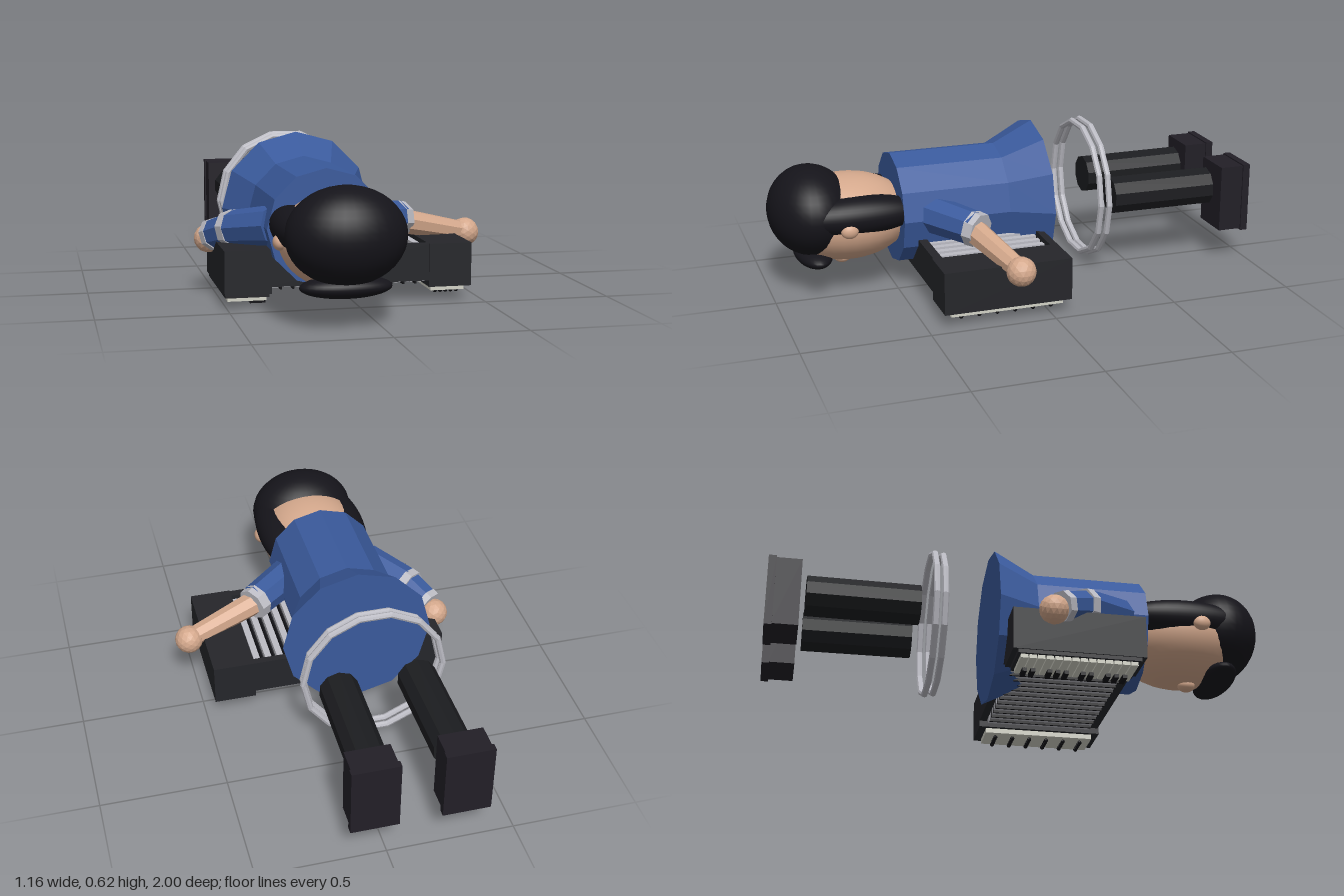
import * as THREE from 'three';

const CX = -0.13, CY = 0.315; // body axis, running along z

const paint = (color, flat = true) => new THREE.MeshStandardMaterial({ color, flatShading: flat });
const blue = paint(0x3a5a9c), skin = paint(0xd4a88c), skinSmooth = paint(0xd4a88c, false);
const hair = paint(0x15141a, false), trousers = paint(0x1c1d20), shoe = paint(0x221f27);
const casing = paint(0x25262a), silver = paint(0xbcbcc4), ivory = paint(0xd2d2c6), black = paint(0x101014);

export function createModel() {
  const model = new THREE.Group();

  const add = (name, geometry, material, x = 0, y = 0, z = 0, parent = model) => {
    const mesh = new THREE.Mesh(geometry, material);
    mesh.name = name;
    mesh.position.set(x, y, z);
    parent.add(mesh);
    return mesh;
  };
  const group = (name) => {
    const g = new THREE.Group();
    g.name = name;
    model.add(g);
    return g;
  };
  // box given by its limits
  const box = (name, mat, x0, x1, y0, y1, z0, z1, parent) =>
    add(name, new THREE.BoxGeometry(x1 - x0, y1 - y0, z1 - z0), mat,
      (x0 + x1) / 2, (y0 + y1) / 2, (z0 + z1) / 2, parent);
  // tapered limb from a to b
  const limb = (name, mat, a, b, ra, rb, sides, parent) => {
    const p = new THREE.Vector3(...a), q = new THREE.Vector3(...b);
    const mesh = add(name, new THREE.CylinderGeometry(rb, ra, p.distanceTo(q), sides), mat, 0, 0, 0, parent);
    mesh.position.copy(p).add(q).multiplyScalar(0.5);
    mesh.quaternion.setFromUnitVectors(new THREE.Vector3(0, 1, 0), q.sub(p).normalize());
    return mesh;
  };
  const ellipsoid = (name, mat, x, y, z, rx, ry, rz, parent) => {
    const mesh = add(name, new THREE.SphereGeometry(1, 32, 20), mat, x, y, z, parent);
    mesh.scale.set(rx, ry, rz);
    return mesh;
  };

  // torso and flared skirt
  limb('torso', blue, [CX, CY, 0.04], [CX, CY, 0.49], 0.227, 0.227, 12);
  limb('skirt', blue, [CX, CY, -0.115], [CX, CY, 0.05], 0.31, 0.227, 12);

  // head, lying face down
  const head = group('head');
  ellipsoid('face', skinSmooth, CX, 0.3, 0.68, 0.215, 0.175, 0.27, head);
  ellipsoid('nose', skinSmooth, CX, 0.125, 0.7, 0.032, 0.026, 0.035, head);
  ellipsoid('hairCrown', hair, CX, 0.34, 0.825, 0.222, 0.18, 0.17, head);
  ellipsoid('fringe', hair, CX, 0.155, 0.82, 0.17, 0.042, 0.075, head);
  for (const s of [-1, 1]) {
    ellipsoid('sideHair', hair, CX + s * 0.15, 0.345, 0.66, 0.087, 0.078, 0.26, head);
    ellipsoid('ear', skinSmooth, CX + s * 0.22, 0.305, 0.71, 0.024, 0.03, 0.035, head);
  }

  // left arm, reaching out
  const leftArm = group('leftArm');
  limb('sleeve', blue, [0.03, 0.325, 0.37], [0.215, 0.305, 0.235], 0.078, 0.07, 8, leftArm);
  limb('cuff', silver, [0.2, 0.305, 0.245], [0.235, 0.3, 0.22], 0.073, 0.07, 8, leftArm);
  limb('forearm', skin, [0.2, 0.3, 0.245], [0.52, 0.228, 0.15], 0.052, 0.04, 8, leftArm);
  add('hand', new THREE.IcosahedronGeometry(0.058, 2), skin, 0.52, 0.226, 0.15, leftArm);

  // right arm, folded back beside the body
  const rightArm = group('rightArm');
  limb('upperSleeve', blue, [-0.31, 0.315, 0.38], [-0.445, 0.285, 0.22], 0.078, 0.07, 8, rightArm);
  limb('elbowBand', silver, [-0.44, 0.285, 0.225], [-0.46, 0.28, 0.195], 0.074, 0.072, 8, rightArm);
  limb('lowerSleeve', blue, [-0.45, 0.28, 0.21], [-0.51, 0.245, 0.11], 0.068, 0.06, 8, rightArm);
  limb('wristBand', silver, [-0.5, 0.25, 0.125], [-0.515, 0.242, 0.1], 0.066, 0.063, 8, rightArm);
  add('hand', new THREE.IcosahedronGeometry(0.058, 2), skin, -0.523, 0.224, 0.075, rightArm);

  // accordion: end blocks, side walls and pleats
  const accordion = group('accordion');
  box('keyBlock', casing, -0.51, -0.33, 0.06, 0.23, -0.08, 0.435, accordion);
  box('buttonBlock', casing, 0.29, 0.46, 0.06, 0.23, -0.08, 0.435, accordion);
  box('frontWall', casing, -0.34, 0.3, 0.085, 0.23, 0.395, 0.43, accordion);
  box('backWall', casing, -0.34, 0.3, 0.085, 0.23, -0.08, -0.05, accordion);
  box('bellowsCore', casing, -0.34, 0.3, 0.1, 0.19, -0.055, 0.4, accordion);
  for (let i = 0; i < 13; i++) {
    const x = -0.31 + i * 0.0485;
    box('pleat', silver, x - 0.013, x + 0.013, 0.075, 0.215, -0.045, 0.39, accordion);
    box('pleatFold', black, x + 0.02, x + 0.028, 0.067, 0.2, -0.045, 0.39, accordion);
  }

  // piano keys under the right end
  box('keyBed', casing, -0.505, -0.335, 0.045, 0.06, -0.06, 0.415, accordion);
  const keys = 14, pitch = 0.455 / keys;
  for (let i = 0; i < keys; i++) {
    const z = -0.05 + i * pitch;
    box('whiteKey', ivory, -0.495, -0.345, 0.03, 0.047, z + 0.002, z + pitch - 0.002, accordion);
    if (i > 0 && ![0, 3].includes(i % 7))
      box('blackKey', black, -0.405, -0.345, 0.016, 0.031, z - 0.009, z + 0.009, accordion);
  }

  // rows of round buttons under the left end
  box('buttonPlate', ivory, 0.305, 0.44, 0.04, 0.06, -0.05, 0.405, accordion);
  for (let row = 0; row < 6; row++)
    for (let col = 0; col < 5; col++)
      add('button', new THREE.SphereGeometry(0.009, 8, 6), black,
        0.335 + col * 0.0215, 0.032, -0.005 + row * 0.073, accordion);

  // double hoop behind the skirt
  for (const [z, r] of [[-0.323, 0.28], [-0.357, 0.286]])
    add('hoop', new THREE.TorusGeometry(r, 0.013, 8, 14), silver, CX, CY, z);

  // legs and shoes
  for (const s of [-1, 1]) {
    const leg = group(s > 0 ? 'leftLeg' : 'rightLeg');
    limb('trouserLeg', trousers, [CX + s * 0.163, CY, -0.85], [CX + s * 0.158, CY, -0.41], 0.079, 0.079, 10, leg);
    const x = CX + s * 0.177;
    box('shoe', shoe, x - 0.088, x + 0.088, 0.14, 0.418, -0.975, -0.872, leg);
    box('sole', shoe, x - 0.094, x + 0.094, 0.133, 0.423, -1, -0.97, leg);
  }

  // rest on the ground
  model.updateMatrixWorld(true);
  const lowest = new THREE.Box3().setFromObject(model, true).min.y;
  for (const part of model.children) part.position.y -= lowest;
  return model;
}
